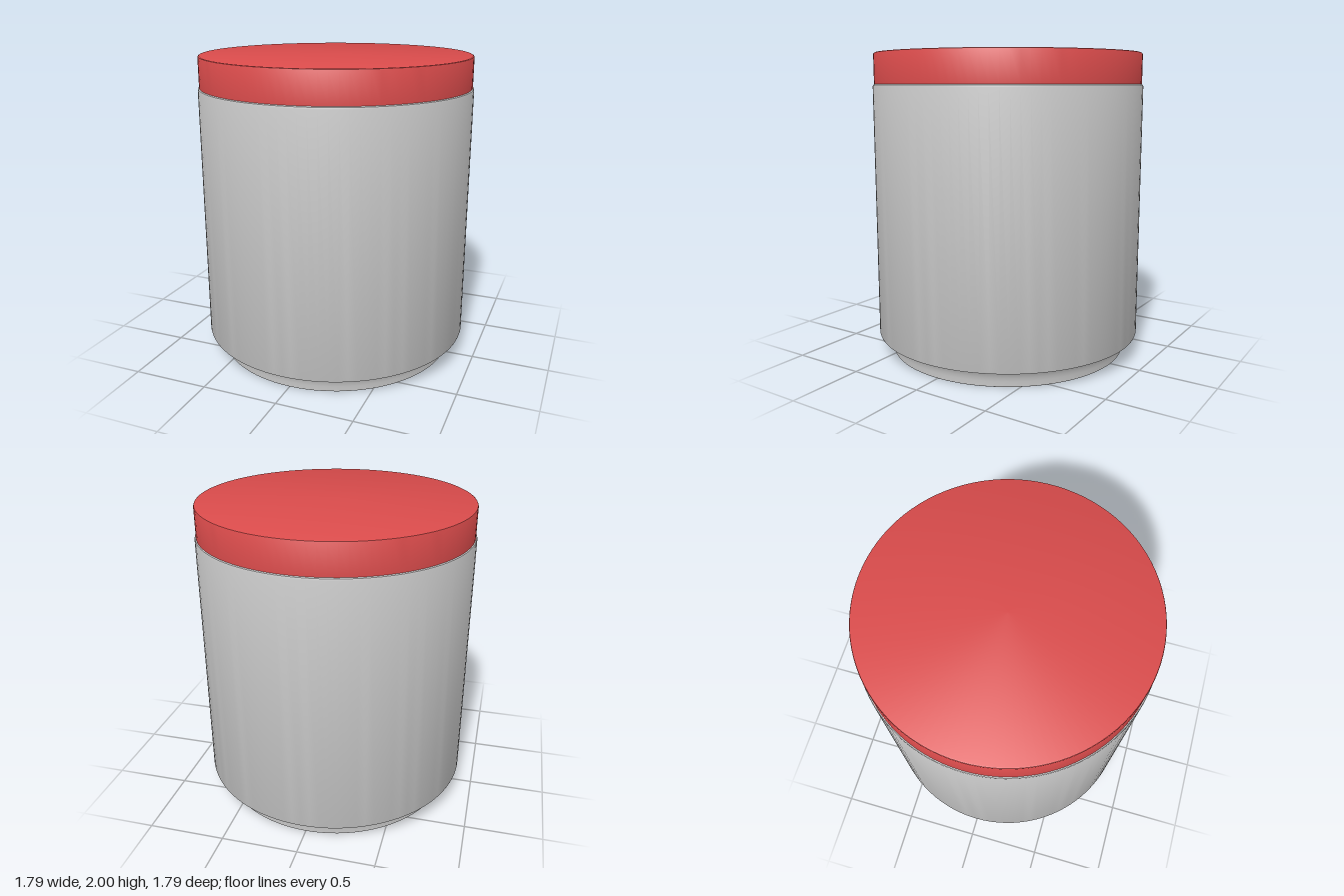
import * as THREE from 'three';
import { toCreasedNormals } from 'three/addons/utils/BufferGeometryUtils.js';

const grey = new THREE.MeshStandardMaterial({ color: 0xc9c9c9 });
grey.name = 'light grey';
const red = new THREE.MeshStandardMaterial({ color: 0xd94b4b });
red.name = 'red';

// Turned part from a bottom-to-top profile of [radius, height], sharp at hard edges
function turned(name, profile, material) {
  const points = profile.map(([r, y]) => new THREE.Vector2(r, y));
  const geometry = toCreasedNormals(new THREE.LatheGeometry(points, 96), 0.5);
  const mesh = new THREE.Mesh(geometry, material);
  mesh.name = name;
  return mesh;
}

export function createModel() {
  const group = new THREE.Group();
  group.name = 'jar';

  // Foot flaring up to the underside of the body
  group.add(turned('foot', [
    [0, 0], [0.797, 0], [0.8, 0.004], [0.801, 0.035], [0.805, 0.06],
    [0.814, 0.085], [0.826, 0.105], [0.836, 0.12],
  ], grey));

  // Straight body with small rounded rims
  group.add(turned('body', [
    [0.82, 0.118], [0.884, 0.118], [0.891, 0.121], [0.894, 0.13],
    [0.894, 1.785], [0.891, 1.795], [0.884, 1.8], [0.86, 1.8],
  ], grey));

  // Flat lid, slightly narrower than the body
  group.add(turned('lid', [
    [0.885, 1.8], [0.885, 1.99], [0.882, 1.997], [0.876, 2], [0, 2],
  ], red));

  return group;
}
